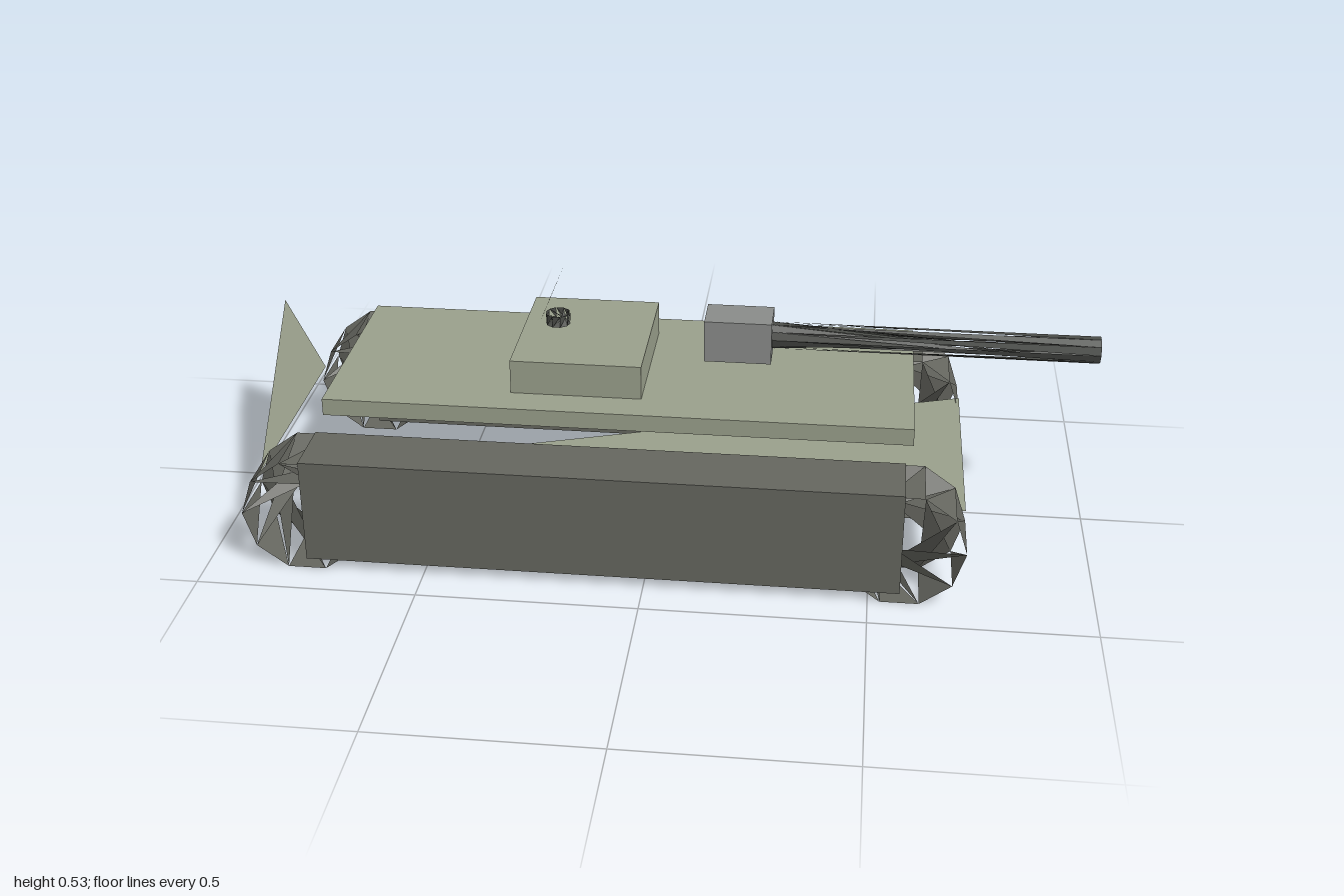
import * as THREE from 'three';

const material = (color) =>
  new THREE.MeshStandardMaterial({ color, flatShading: true, side: THREE.DoubleSide });

const hullMat = material(0x9aa08c);
const trackMat = material(0x65665f);
const mountMat = material(0x8a8c8a);
const darkMat = material(0x4a4c48);

// Box given by its min and max corners
function box(name, mat, min, max) {
  const size = max.map((v, i) => v - min[i]);
  const mesh = new THREE.Mesh(new THREE.BoxGeometry(...size), mat);
  mesh.position.set(...max.map((v, i) => (v + min[i]) / 2));
  mesh.name = name;
  return mesh;
}

// Mesh from a flat list of triangle corners
function triangles(name, mat, points) {
  const geometry = new THREE.BufferGeometry();
  geometry.setAttribute('position', new THREE.Float32BufferAttribute(points.flat(), 3));
  geometry.computeVertexNormals();
  const mesh = new THREE.Mesh(geometry, mat);
  mesh.name = name;
  return mesh;
}

// Ten-sided open drum along z: toothed sides and twisted blades through its inside
function jaggedDrum(name, mat, radius, length) {
  const sides = 10;
  const rim = (i, z) => {
    const a = (i / sides) * Math.PI * 2;
    return [radius * Math.cos(a), radius * Math.sin(a), z * length / 2];
  };
  const points = [];
  for (let i = 0; i < sides; i++) {
    points.push(rim(i, -1), rim(i + 1, 1), rim(i, 1)); // side tooth
    points.push(rim(i, -1), rim(i + 1, -1), rim(i + 4, 1)); // inner blade
  }
  return triangles(name, mat, points);
}

export function createModel() {
  const model = new THREE.Group();
  model.name = 'trackedVehicle';

  // Tracks with a jagged wheel at each end
  for (const side of [-1, 1]) {
    const track = new THREE.Group();
    track.name = side > 0 ? 'frontTrack' : 'backTrack';
    track.add(box('trackBody', trackMat, [-0.77, 0.03, -0.074], [0.57, 0.277, 0.074]));
    for (const x of [-0.77, 0.57]) {
      const wheel = jaggedDrum('trackWheel', trackMat, 0.14, 0.148);
      wheel.position.set(x, 0.14, 0);
      track.add(wheel);
    }
    track.position.z = side * 0.339;
    model.add(track);
  }

  // Hull deck, turret and gun mount
  model.add(box('deck', hullMat, [-0.75, 0.32, -0.26], [0.585, 0.36, 0.26]));
  model.add(box('turret', hullMat, [-0.33, 0.36, -0.18], [-0.03, 0.44, 0.18]));
  model.add(box('gunMount', mountMat, [0.1, 0.4, -0.05], [0.255, 0.5, 0.05]));

  // Thin triangular plates
  model.add(triangles('floorPlate', hullMat,
    [[0.71, 0.164, 0.265], [0.71, 0.164, -0.295], [-0.91, 0.164, 0.265]]));
  model.add(triangles('rearPlate', hullMat,
    [[-0.91, 0.164, 0.265], [-0.91, 0.164, -0.295], [-1, 0.348, -0.295]]));
  model.add(triangles('turretFin', hullMat,
    [[-0.33, 0.36, -0.187], [-0.294, 0.446, -0.03], [-0.26, 0.527, -0.187]]));

  // Gun barrel
  const barrel = jaggedDrum('barrel', darkMat, 0.031, 0.745);
  barrel.rotation.y = Math.PI / 2;
  barrel.position.set(0.6275, 0.452, 0);
  model.add(barrel);

  // Small knob above the turret
  const knob = jaggedDrum('hatchKnob', darkMat, 0.028, 0.026);
  knob.rotation.x = -Math.PI / 2;
  knob.position.set(-0.227, 0.523, 0.113);
  model.add(knob);

  return model;
}
